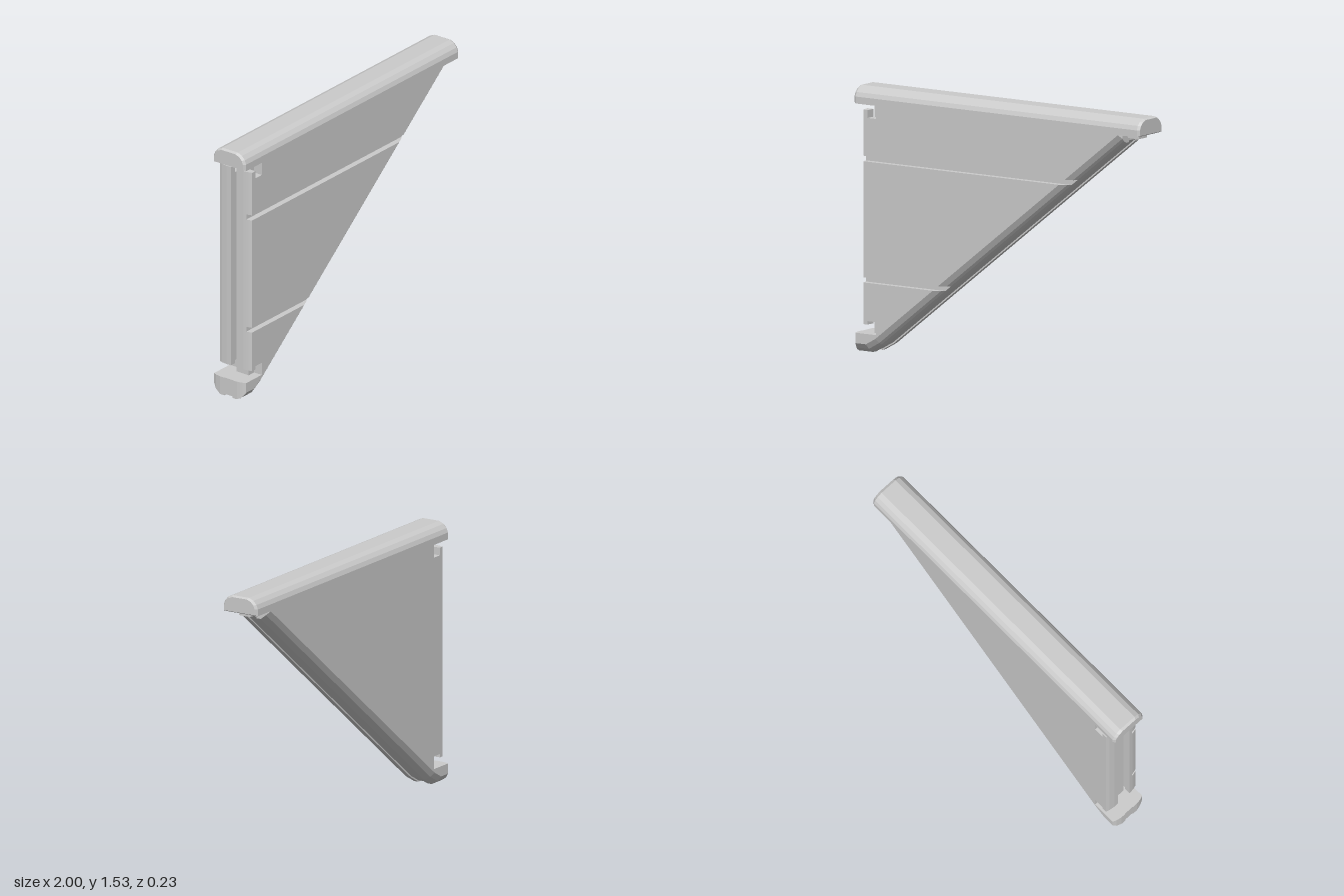
import * as THREE from 'three';

const TOP = 1.43;

// Solid through a list of [counter-clockwise outline, depth] sections, with flat facets
function loft(sections) {
  const pos = [];
  const put = (p, z) => pos.push(p[0], p[1], z);
  const cap = ([pts, z], flip) => {
    const faces = THREE.ShapeUtils.triangulateShape(pts.map(p => new THREE.Vector2(p[0], p[1])), []);
    for (const [a, b, c] of faces) for (const i of flip ? [a, c, b] : [a, b, c]) put(pts[i], z);
  };
  cap(sections[0], true);
  cap(sections[sections.length - 1], false);
  for (let s = 0; s + 1 < sections.length; s++) {
    const [A, z0] = sections[s], [B, z1] = sections[s + 1];
    A.forEach((_, i) => {
      const j = (i + 1) % A.length;
      put(A[i], z0); put(A[j], z0); put(B[j], z1);
      put(A[i], z0); put(B[j], z1); put(B[i], z1);
    });
  }
  const g = new THREE.BufferGeometry();
  g.setAttribute('position', new THREE.Float32BufferAttribute(pos, 3));
  g.computeVertexNormals();
  return g;
}

// Sloping edge, moved inward by d
const slopeX = (y, d) => -0.82 + (y - 0.045) * 1.2659 - d / 0.62;

// Side outline between two heights; d insets the sloping edge, notched cuts the latch corners
function outline(d, y0 = 0, y1 = TOP, left = -0.94, notched = true) {
  const p = [], xl = left + 0.2 * d, foot = -1 + 0.3 * d;
  if (y0 === 0) {
    p.push([foot, d], [-0.9 - 0.262 * d, d], [-0.82 - 0.559 * d, 0.045 + 0.833 * d]);
  } else {
    p.push([xl, y0], [slopeX(y0, d), y0]);
  }
  if (y1 === TOP) {
    const y = Math.min(TOP - 0.001, 1.38 + d / 0.785);
    p.push([slopeX(y, d), y], [slopeX(y, d), TOP]);
    if (notched) p.push([-0.84, TOP], [-0.84, 1.355], [-0.9, 1.355], [-0.9, 1.4], [xl, 1.4]);
    else p.push([xl, TOP]);
  } else {
    p.push([slopeX(y1, d), y1], [xl, y1]);
  }
  if (y0 === 0) {
    if (notched) p.push([xl, 0.165], [-0.9, 0.165], [-0.9, 0.185], [-0.84, 0.185], [-0.84, 0.11]);
    else p.push([xl, 0.11]);
    p.push([foot, 0.11]);
  }
  return p;
}

export function createModel() {
  const group = new THREE.Group();
  const mat = new THREE.MeshStandardMaterial({ color: 0xcccccc });
  const add = (name, geo) => {
    const m = new THREE.Mesh(geo, mat);
    m.name = name;
    group.add(m);
    return m;
  };

  // Back slab with rounded sloping edge
  add('backPanel', loft([
    [outline(0.05), -0.115], [outline(0.022), -0.095], [outline(0), -0.06], [outline(0), -0.03],
  ]));

  // Recessed core: leaves a channel along the upright edge and a shallow groove on the slope
  add('core', loft([
    [outline(0.008, 0, TOP, -0.89, false), -0.03], [outline(0.008, 0, TOP, -0.89, false), 0.03],
  ]));
  add('coreLip', loft([
    [outline(0, 0, TOP, -0.89, false), 0.03], [outline(0, 0, TOP, -0.89, false), 0.06],
  ]));

  // Front slab, its outer layer split by two horizontal grooves
  add('frontPanelBase', loft([[outline(0), 0.06], [outline(0.01), 0.08]]));
  for (const [y0, y1] of [[0, 0.405], [0.435, 1.103], [1.135, TOP]]) {
    add('frontPanel', loft([
      [outline(0.01, y0, y1), 0.08], [outline(0.022, y0, y1), 0.095], [outline(0.05, y0, y1), 0.115],
    ]));
  }

  // Top rail: hollow underneath, closed by bevelled end caps
  const dome = [[0.115, 1.43], [0.115, 1.47], [0.105, 1.495], [0.085, 1.517], [0.055, 1.53]];
  const solid = [...dome, ...dome.map(([z, y]) => [-z, y]).reverse()];
  const channel = [...solid, [-0.085, 1.43], [-0.085, 1.465], [0.085, 1.465], [0.085, 1.43]];
  const inset = solid.map(([z, y]) => [z * 0.9, 1.48 + (y - 1.48) * 0.85]);
  const alongX = sections => loft(sections).rotateY(Math.PI / 2);
  add('topRail', alongX([[channel, -0.97], [channel, 0.97]]));
  add('railEndRight', alongX([[inset, -1], [solid, -0.985], [solid, -0.97]]));
  add('railEndLeft', alongX([[solid, 0.97], [solid, 0.985], [inset, 1]]));

  // Small tab below the overhanging rail end
  add('railTab', new THREE.BoxGeometry(0.09, 0.06, 0.08)).position.set(0.9, 1.435, 0);

  return group;
}
